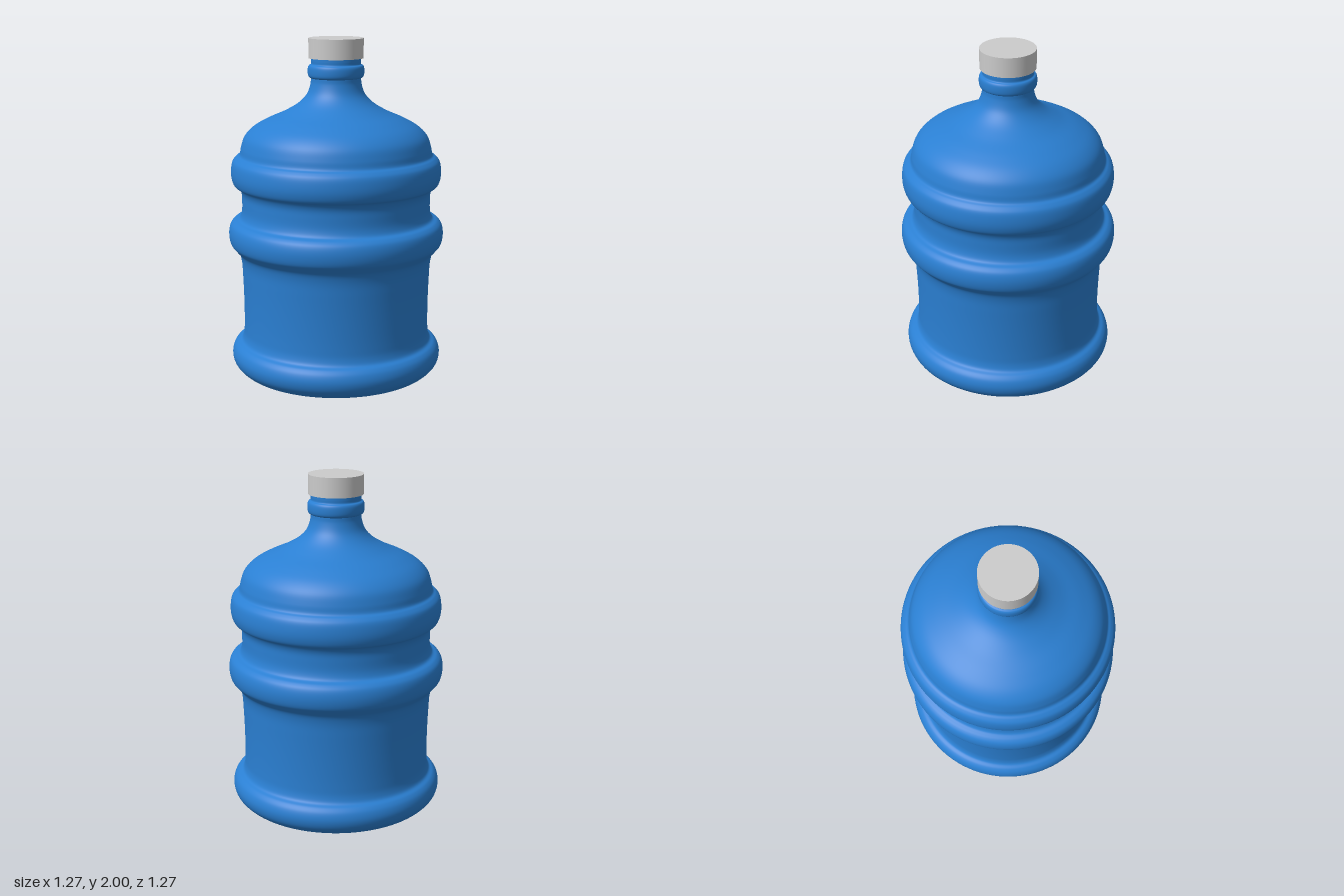
import * as THREE from 'three';

// Smooth profile through [radius, height] points
function smoothProfile(points, samples) {
  const curve = new THREE.CatmullRomCurve3(
    points.map(([r, y]) => new THREE.Vector3(r, y, 0)), false, 'centripetal');
  return curve.getPoints(samples).map((p) => new THREE.Vector2(Math.max(p.x, 0), p.y));
}

function addLathe(group, name, profile, material) {
  const mesh = new THREE.Mesh(new THREE.LatheGeometry(profile, 96), material);
  mesh.name = name;
  group.add(mesh);
}

export function createModel() {
  const group = new THREE.Group();
  group.name = 'waterBottle';
  const blue = new THREE.MeshStandardMaterial({ color: 0x2a7fd2 });
  const grey = new THREE.MeshStandardMaterial({ color: 0xcccccc });

  // Bottle body: flat base, foot ring, waist, two bulging bands, shoulder, neck
  const body = [
    [0.49, 0], [0.53, 0.007], [0.575, 0.03], [0.612, 0.07], [0.625, 0.12], [0.615, 0.165],
    [0.595, 0.19], [0.568, 0.207], [0.556, 0.24], [0.552, 0.3], [0.552, 0.45],
    [0.557, 0.6], [0.563, 0.69], [0.577, 0.74], [0.602, 0.77],
    [0.625, 0.8], [0.635, 0.86], [0.624, 0.912], [0.602, 0.935],
    [0.572, 0.95], [0.558, 0.985], [0.555, 1.05], [0.558, 1.1], [0.574, 1.133],
    [0.6, 1.15], [0.615, 1.19], [0.617, 1.24], [0.607, 1.288], [0.587, 1.311],
    [0.567, 1.326], [0.557, 1.37], [0.536, 1.43], [0.49, 1.48], [0.41, 1.527],
    [0.3, 1.576], [0.215, 1.628], [0.168, 1.68], [0.148, 1.74], [0.146, 1.775],
  ];
  addLathe(group, 'body', [new THREE.Vector2(0, 0), ...smoothProfile(body, 200)], blue);

  // Neck and its rounded collar, running up into the cap
  const neck = [
    [0.146, 1.77], [0.157, 1.776], [0.163, 1.79], [0.163, 1.83],
    [0.157, 1.843], [0.146, 1.85], [0.145, 1.87], [0.145, 1.92],
  ];
  addLathe(group, 'neckCollar', smoothProfile(neck, 48), blue);

  // Flat cylindrical cap
  const cap = new THREE.Mesh(new THREE.CylinderGeometry(0.16, 0.16, 0.115, 96), grey);
  cap.name = 'cap';
  cap.position.y = 1.9425;
  group.add(cap);

  return group;
}
